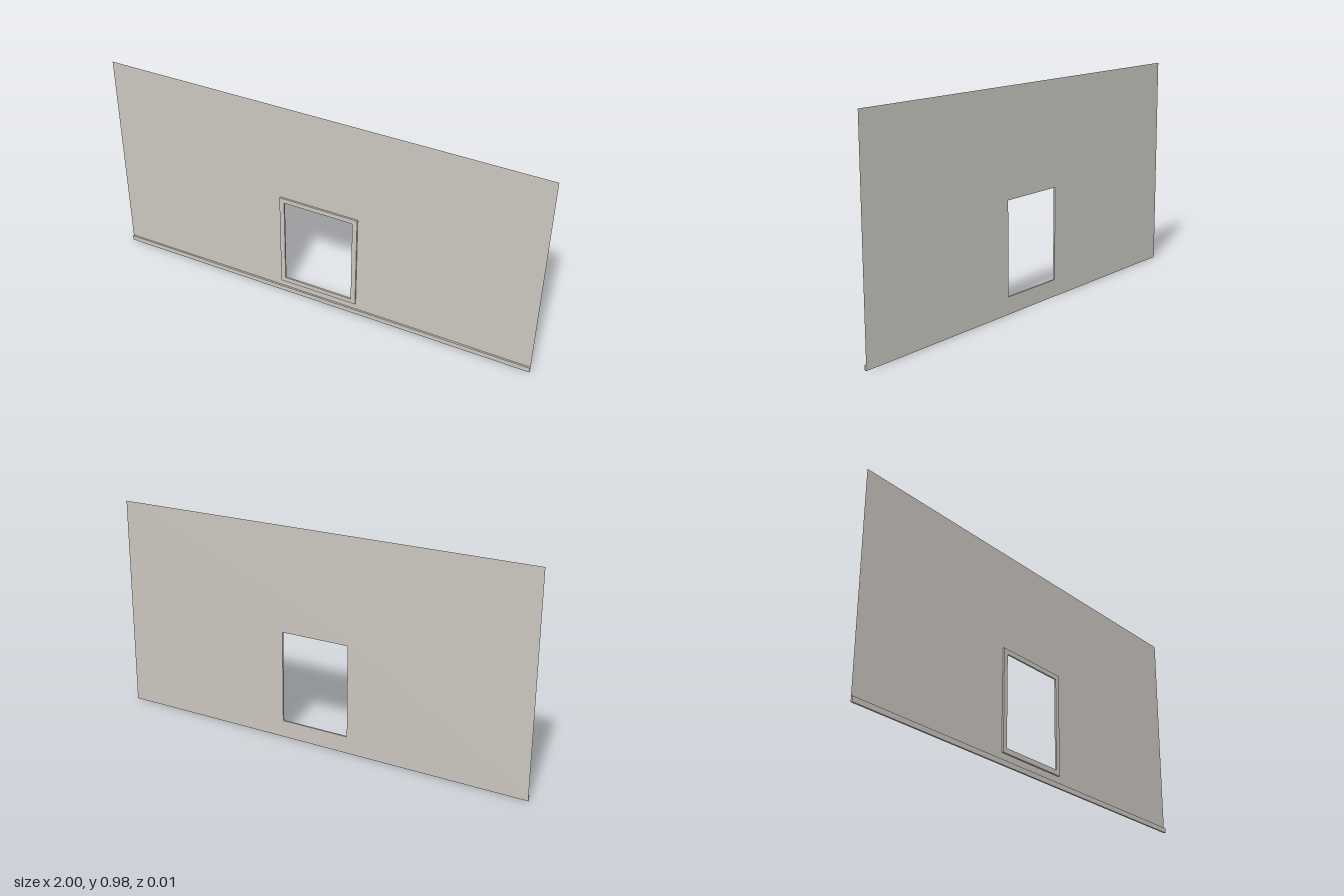
import * as THREE from 'three';

const BACK = -0.004;   // plane of the wall sheet
const DEPTH = 0.008;   // how far the trim stands out to the front

// Rectangle with a rectangular opening, each given as [halfWidth, bottom, top]
function framedShape([w, b, t], [hw, hb, ht]) {
  const shape = new THREE.Shape();
  shape.moveTo(-w, b).lineTo(w, b).lineTo(w, t).lineTo(-w, t).closePath();
  const hole = new THREE.Path();
  hole.moveTo(-hw, hb).lineTo(-hw, ht).lineTo(hw, ht).lineTo(hw, hb).closePath();
  shape.holes.push(hole);
  return shape;
}

export function createModel() {
  const model = new THREE.Group();
  model.name = 'wallWithWindowOpening';
  const plaster = new THREE.MeshStandardMaterial({ color: 0xcac6be, side: THREE.DoubleSide });
  plaster.name = 'warm grey plaster';

  const add = (name, geometry, y, z) => {
    const mesh = new THREE.Mesh(geometry, plaster);
    mesh.name = name;
    mesh.position.set(0, y, z);
    model.add(mesh);
  };

  const opening = [0.163, 0.078, 0.498];

  // Thin wall sheet with the window opening
  add('wall', new THREE.ShapeGeometry(framedShape([1, 0, 0.976], opening)), 0, BACK);

  // Raised trim around the opening
  add('windowTrim', new THREE.ExtrudeGeometry(framedShape([0.185, 0.055, 0.52], opening),
    { depth: DEPTH, bevelEnabled: false }), 0, BACK);

  // Skirting board along the foot of the wall
  add('skirtingBoard', new THREE.BoxGeometry(2, 0.023, DEPTH), 0.0115, BACK + DEPTH / 2);

  return model;
}
